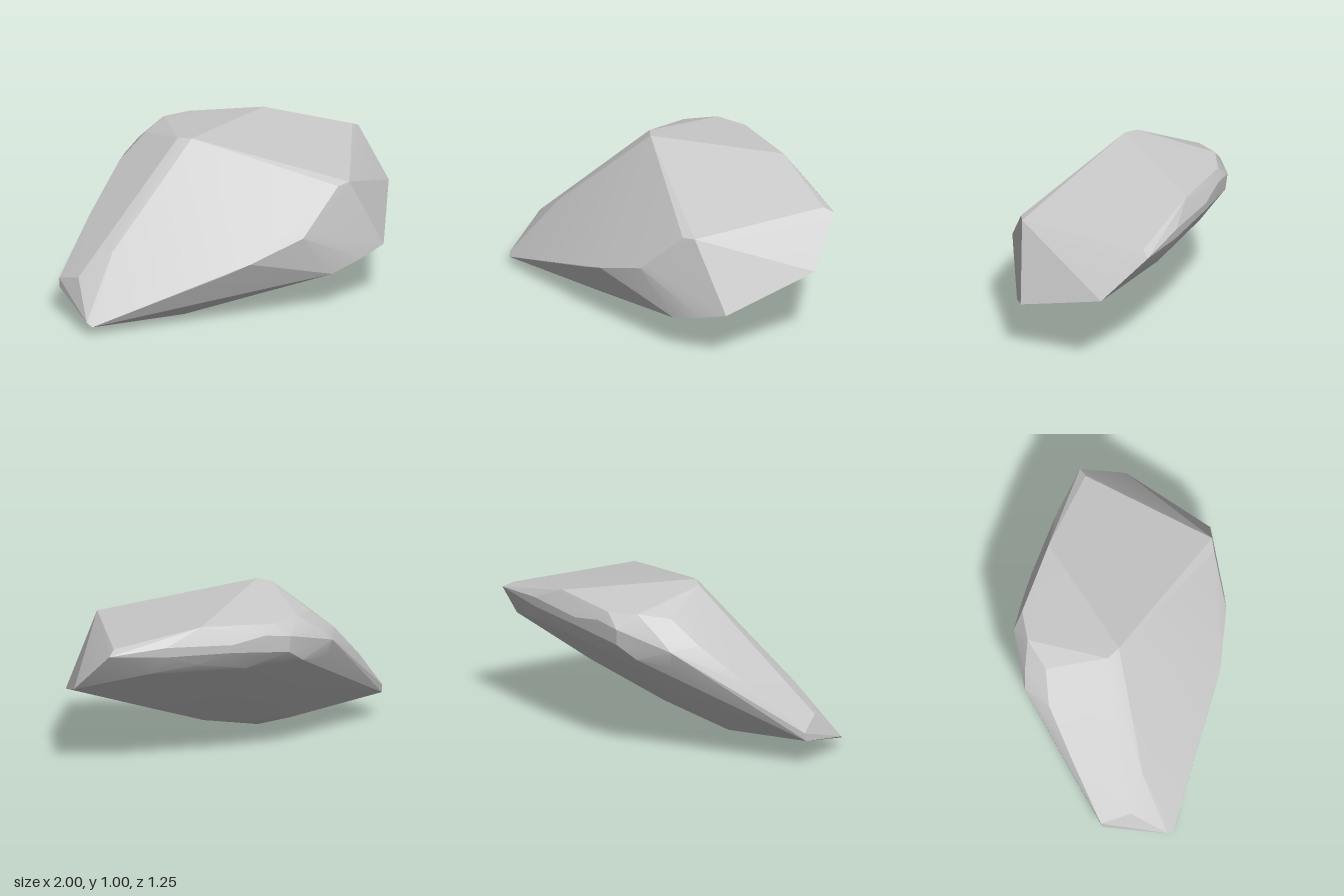
import * as THREE from 'three';
import { ConvexGeometry } from 'three/addons/geometries/ConvexGeometry.js';
import { toCreasedNormals } from 'three/addons/utils/BufferGeometryUtils.js';

// Corners of the boulder, grouped by region
const crown = [
  [-0.2, 1, 0.04], [-0.28, 0.99, 0], [-0.44, 0.9, -0.33], [-0.6, 0.76, -0.25],
  [-0.32, 0.93, -0.49], [-0.16, 0.92, -0.585], [0.28, 0.93, -0.585],
  [0.71, 0.79, 0.28], [0.64, 0.78, 0.32], [0.8, 0.82, -0.55],
];
const frontRidge = [
  [0.49, 0.54, 0.44], [0.42, 0.52, 0.48], [0.1, 0.4, 0.565], [-0.05, 0.34, 0.575],
  [-0.84, 0.06, 0.625], [-0.87, 0.08, 0.6], [-0.7, 0.43, 0.38], [-0.9, 0.28, 0.38],
];
const sides = [
  [1, 0.53, -0.37], [0.92, 0.35, 0.19], [0.84, 0.79, -0.6],
  [-1, 0.22, 0.23], [-1, 0.17, 0.24], [-0.8, 0.51, -0.02],
  [-0.55, 0.74, -0.42], [-0.47, 0.82, -0.45],
];
const backBulge = [
  [-0.26, 0.84, -0.6], [-0.1, 0.86, -0.615], [0.1, 0.82, -0.63], [0.5, 0.83, -0.625],
  [0.1, 0.77, -0.625], [0.5, 0.77, -0.62], [-0.25, 0.74, -0.59], [0.3, 0.7, -0.59],
  [0, 0.64, -0.54], [0.6, 0.65, -0.55], [-0.35, 0.66, -0.52], [-0.52, 0.63, -0.39],
];
const underside = [
  [-0.27, 0, 0.32], [0.6, 0.24, 0.36], [0.78, 0.3, 0.28],
  [-0.42, 0.1, 0.11], [0.12, 0.14, 0.05], [0.54, 0.33, -0.18],
];

export function createModel() {
  const group = new THREE.Group();
  const points = [crown, frontRidge, sides, backBulge, underside]
    .flat().map((p) => new THREE.Vector3(...p));

  // Faceted stone with only its shallow edges softened
  const geometry = toCreasedNormals(new ConvexGeometry(points), 0.25);
  const rock = new THREE.Mesh(geometry, new THREE.MeshStandardMaterial({ color: 0xcccccc }));
  rock.name = 'boulder';
  group.add(rock);
  return group;
}
